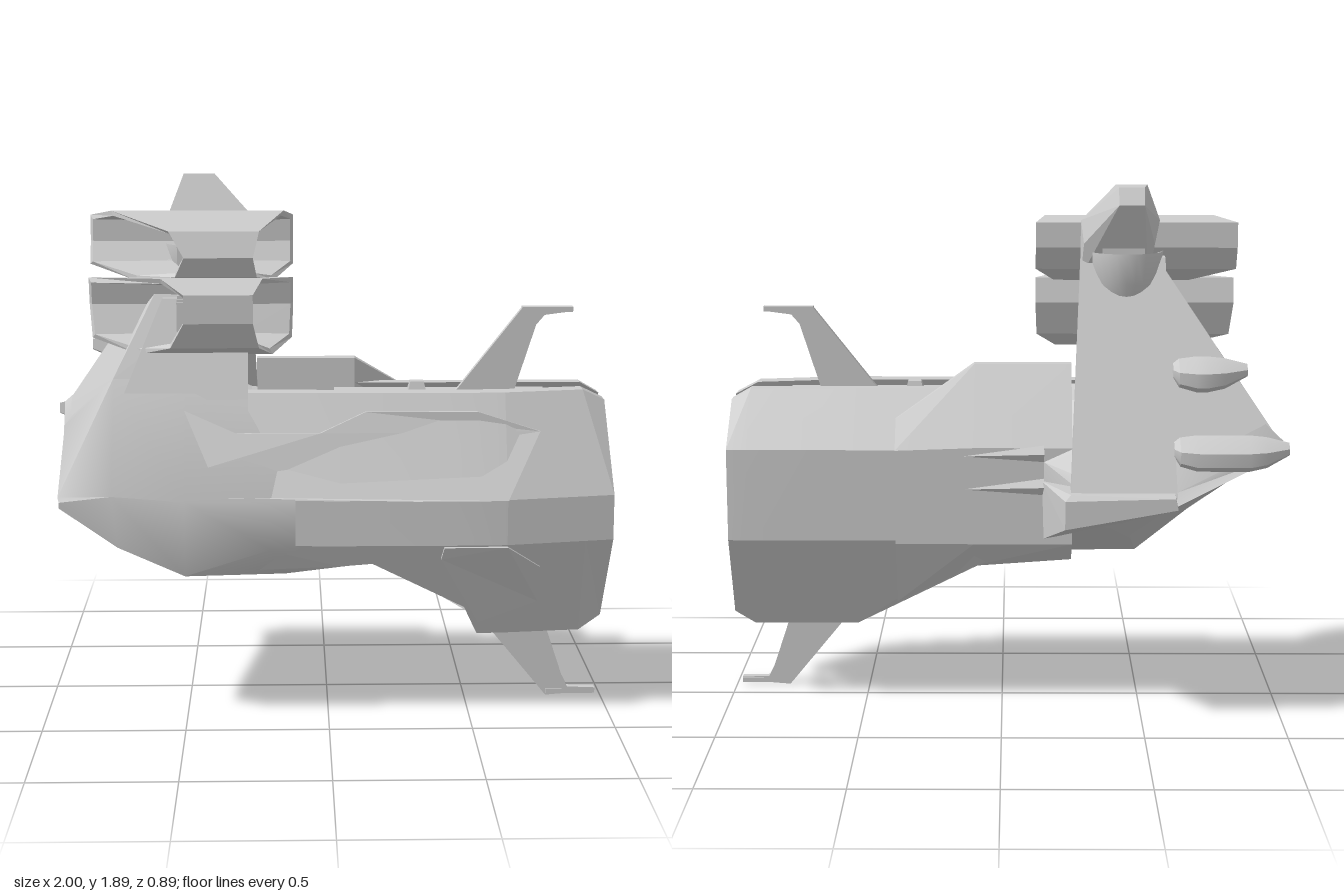
import * as THREE from 'three';
import { toCreasedNormals } from 'three/addons/utils/BufferGeometryUtils.js';
import { ConvexGeometry } from 'three/addons/geometries/ConvexGeometry.js';

const grey = new THREE.MeshStandardMaterial({ color: 0xcccccc, side: THREE.DoubleSide });
const V = (x, y, z) => new THREE.Vector3(x, y, z);
const lerp = THREE.MathUtils.lerp;
const clamp01 = (t) => THREE.MathUtils.clamp(t, 0, 1);

export function createModel() {
  const model = new THREE.Group();

  function add(name, geometry) {
    const mesh = new THREE.Mesh(geometry, grey);
    mesh.name = name;
    model.add(mesh);
    return mesh;
  }
  const convex = (name, pts) => add(name, new ConvexGeometry(pts.map((p) => V(...p))));
  const box = (name, w, h, d, x, y, z) => {
    const mesh = add(name, new THREE.BoxGeometry(w, h, d));
    mesh.position.set(x, y, z);
    return mesh;
  };
  // ring of (z, y) pairs standing at x
  const ring = (x, pts) => pts.map(([z, y]) => V(x, y, z));

  // skin through equal rings, capped at both ends, always wound outwards
  function loft(rings, crease = 0.1) {
    const n = rings[0].length, tris = [];
    for (let r = 0; r < rings.length - 1; r++) {
      for (let i = 0; i < n; i++) {
        const j = (i + 1) % n, a = rings[r], b = rings[r + 1];
        tris.push([a[i], a[j], b[j]], [a[i], b[j], b[i]]);
      }
    }
    const cap = (pts, flip) => {
      const flat = pts.map((p) => new THREE.Vector2(p.z, p.y));
      const turn = THREE.ShapeUtils.isClockWise(flat) !== flip;
      for (const [a, b, c] of THREE.ShapeUtils.triangulateShape(flat, [])) {
        tris.push(turn ? [pts[a], pts[b], pts[c]] : [pts[a], pts[c], pts[b]]);
      }
    };
    const clockwise = THREE.ShapeUtils.isClockWise(rings[0].map((p) => new THREE.Vector2(p.z, p.y)));
    cap(rings[0], !clockwise);
    cap(rings[rings.length - 1], clockwise);
    let volume = 0;
    for (const [a, b, c] of tris) volume += a.dot(b.clone().cross(c));
    const pts = tris.flatMap(([a, b, c]) => (volume < 0 ? [a, c, b] : [a, b, c]));
    return toCreasedNormals(new THREE.BufferGeometry().setFromPoints(pts), crease);
  }

  // smooth forward hull, tapering to a slanted knife edge
  const hull = [
    [[-.935, .815, .42], [-.93, .8, .435], [-.93, .78, .435], [-.94, .8, .3], [-.97, .95, -.2], [-.975, .97, -.31], [-.98, 1.02, -.31], [-.96, .97, -.1]],
    [[-.75, 1.2, .25], [-.75, .82, .435], [-.73, .64, .435], [-.7, .65, .25], [-.7, .79, -.1], [-.61, .81, -.42], [-.61, .85, -.38], [-.78, 1.2, -.2]],
    [[-.5, 1.2, .25], [-.5, .8, .435], [-.5, .53, .41], [-.5, .49, .25], [-.45, .66, -.05], [-.4, .76, -.42], [-.4, .85, -.38], [-.5, 1.2, -.2]],
    [[-.27, 1.14, .26], [-.2, .8, .435], [-.2, .63, .435], [-.15, .52, .34], [-.15, .55, 0], [-.15, .66, -.2], [-.15, .92, -.2], [-.27, 1.12, -.06]],
    [[.1, 1.1, .24], [.1, .8, .4], [.1, .64, .4], [.1, .55, .34], [.1, .56, .02], [.1, .65, -.17], [.1, .95, -.17], [.1, 1.1, 0]],
    [[.38, 1.1, .22], [.38, .8, .39], [.38, .66, .39], [.38, .59, .36], [.38, .6, .02], [.38, .68, -.1], [.38, .9, -.1], [.38, 1.1, .02]],
  ].map((r) => r.map((p) => V(...p)));
  add('forwardHull', loft(hull, 0.7));

  // front armour shell
  const frontRing = (x, dz, top, bottom, zb) => ring(x, [
    [.27 - dz, top], [.43 - dz, .8], [.43 - dz, .64], [zb, bottom],
    [zb - .09, bottom], [.36 - dz, .64], [.36 - dz, .8], [.2 - dz, top]]);
  const frontEnd = frontRing(.98, .08, 1.11, .33, .22);
  frontEnd.forEach((p) => { if (p.y > .5 && p.y < 1) p.x = 1; });
  add('frontShell', loft([
    frontRing(-.28, .01, 1.15, .54, .37), frontRing(.04, 0, 1.15, .56, .4),
    frontRing(.39, 0, 1.15, .59, .41), frontRing(.53, 0, 1.15, .28, .28),
    frontRing(.62, .005, 1.15, .28, .275), frontRing(.9, .06, 1.15, .28, .24), frontEnd]));

  // back armour shell
  const backRing = (x, dz, top, bottom, zb) => ring(x, [
    [0, top], [dz - .19, .96], [dz - .19, .63], [zb, bottom],
    [zb + .05, bottom], [dz - .13, .64], [dz - .13, .95], [.05, top]]);
  add('backShell', loft([
    backRing(-.2, 0, 1.15, .56, -.12), backRing(.04, 0, 1.15, .55, -.14),
    backRing(.53, 0, 1.15, .28, -.03), backRing(.91, 0, 1.15, .28, -.03),
    backRing(.98, .005, 1.11, .33, -.05)]));

  // raised cover over the back shell
  add('backCover', loft([
    ring(-.25, [[.05, 1.1], [.05, 1.24], [0, 1.24], [-.2, .97], [-.2, .62], [-.1, .54]]),
    ring(.1, [[.05, 1.1], [.05, 1.24], [0, 1.24], [-.2, .97], [-.2, .62], [-.12, .52]]),
    ring(.38, [[-.1, .95], [-.1, 1.06], [-.115, 1.06], [-.2, .96], [-.2, .62], [-.1, .38]])]));
  for (const y of [.92, .8]) {
    convex('coverWedge', [[-.15, y, -.2], [-.15, y + .06, -.2], [-.15, y + .03, -.22], [.14, y + .02, -.2], [-.15, y, -.15]]);
  }

  // raised panels on the front armour, sinking into the hull towards the nose
  function panel(name, outline, surface) {
    const shape = new THREE.Shape(outline.map((p) => new THREE.Vector2(...p)));
    const g = new THREE.ExtrudeGeometry(shape, { depth: .04, bevelEnabled: false });
    const p = g.attributes.position;
    for (let i = 0; i < p.count; i++) {
      const x = p.getX(i), sink = Math.max(0, x - .6) * .2 + Math.max(0, .3 - x) * .012;
      p.setZ(i, p.getZ(i) - .022 + surface(p.getY(i)) - sink);
    }
    g.computeVertexNormals();
    add(name, g);
  }
  panel('upperPanel', [[-.74, .82], [.3, .8], [.62, .8], [.74, .88], [.74, 1.02], [.52, 1.09], [.13, 1.09], [-.03, 1.02], [-.32, 1.02], [-.73, 1.19]],
    (y) => .425 - (y - .8) * .457);
  panel('lowerPanel', [[.4, .635], [.62, .635], [.74, .55], [.74, .41], [.53, .33], [.39, .59]],
    (y) => .43 - (.64 - y) * .417);

  // inner core between the shells
  const core = [[.22, 1.1], [0, 1.1], [-.14, .95], [-.14, .63], [0, .35], [.2, .35], [.35, .64], [.35, .8]];
  const scaled = (pts, s, cz = .1, cy = .71) => pts.map(([z, y]) => [cz + (z - cz) * s, cy + (y - cy) * s]);
  const coreLow = core.map(([z, y]) => [z, Math.max(y, .57)]);
  add('core', loft([ring(-.2, coreLow), ring(.05, coreLow), ring(.5, core), ring(.86, scaled(core, .97)), ring(.89, scaled(core, .85))]));
  box('coreSpine', .75, .05, .1, .4, 1.11, .11);
  convex('spineKnob', [-.04, .04].flatMap((a) => [-.04, .04].flatMap((b) =>
    [[.32 + a, 1.1, .1 + b], [.32 + a * .6, 1.165, .1 + b * .6]])));

  // stretched octagonal nozzle, hollow at the end
  const nozzle = [[.13, .915], [.02, .915], [-.04, .84], [-.04, .55], [.02, .475], [.13, .475], [.19, .55], [.19, .84]];
  const nz = (x, s) => ring(x, scaled(nozzle, s, .075, .695));
  add('nozzle', loft([nz(.85, 1.04), nz(.92, 1), nz(.96, .95), nz(.96, .84), nz(.93, .8), nz(.93, .72), nz(.88, .66)]));
  for (const y of [.99, .43]) {
    convex('endKnob', [-.037, .037].flatMap((a) => [-.037, .037].flatMap((b) =>
      [[.85, y + a, .1 + b], [.92, y + a, .1 + b], [.95, y + a * .5, .1 + b * .5]])));
  }

  // thin fins with swept tips
  function fin(name, pts) {
    const g = new THREE.ExtrudeGeometry(new THREE.Shape(pts.map((p) => new THREE.Vector2(...p))), { depth: .028, bevelEnabled: false });
    add(name, g).position.z = .106;
  }
  fin('upperFin', [[.4, 1.07], [.47, 1.15], [.69, 1.43], [.87, 1.435], [.87, 1.418], [.77, 1.405], [.74, 1.37], [.67, 1.15], [.65, 1.07]]);
  fin('lowerFin', [[.5, .38], [.57, .28], [.8, 0], [.98, .015], [.98, .028], [.88, .03], [.86, .07], [.79, .28], [.77, .38]]);
  for (const [x, y] of [[.78, 1.425], [.89, .016]]) box('finTip', .18, .018, .035, x, y, .12);

  // tower closed on the nose side
  convex('towerBody', [[-.75, 1.2, .25], [-.34, 1.1, .26], [-.6, 1.5, .12], [-.34, 1.5, .12], [-.55, 1.63, .03], [-.34, 1.63, .03],
    [-.55, 1.63, -.03], [-.34, 1.63, -.03], [-.98, 1, -.31], [-.6, .85, -.37], [-.34, .85, -.37], [-.925, .8, .42]]);
  const slab = (name, x0, x1, x2, x3, [za, ya], [zb, yb], t) => convex(name, [
    [x0, ya, za], [x1, ya, za], [x0, ya, za + t], [x1, ya, za + t],
    [x2, yb, zb], [x3, yb, zb], [x2, yb, zb + t], [x3, yb, zb + t]]);
  slab('towerFront', -.72, -.28, -.58, -.28, [.22, 1.13], [.1, 1.47], .06);
  slab('towerBackPlate', -.61, -.24, -.58, -.28, [-.4, .83], [-.04, 1.63], .07);
  for (let i = 0; i < 9; i++) {
    const y = 1.08 + i * .042;
    const back = -.26 + (y - 1.08) * .45, front = .24 - (y - 1.08) * .35;
    box('louvre', .08, .014, front - back, -.33, y, (front + back) / 2);
  }

  // foot of the back plate
  convex('plateFoot', [[-.6, .85, -.42], [-.24, .85, -.42], [-.6, .84, -.44], [-.22, .83, -.44], [-.61, .8, -.44], [-.22, .73, -.44],
    [-.61, .77, -.17], [-.14, .63, -.17], [-.61, .85, -.17], [-.14, .85, -.19]]);

  // mast head leaning backwards, with a rounded scoop behind it
  convex('mastHead', [[-.51, 1.89, -.075], [-.4, 1.89, -.075], [-.5, 1.88, -.095], [-.41, 1.88, -.095], [-.5, 1.82, -.13], [-.41, 1.82, -.13],
    [-.56, 1.76, -.02], [-.28, 1.76, -.02], [-.54, 1.68, -.06], [-.29, 1.68, -.06],
    [-.52, 1.55, .05], [-.28, 1.55, .05], [-.52, 1.56, -.03], [-.28, 1.56, -.03]]);
  const scoop = add('scoop', new THREE.LatheGeometry([[.02, 1.38], [.07, 1.44], [.115, 1.54], [.135, 1.65], [.115, 1.64], [.07, 1.57], [0, 1.55]]
    .map((p) => new THREE.Vector2(...p)), 24));
  scoop.position.set(-.44, 0, -.005);

  // launcher pods with slanted, lightly chamfered hollow ends and slats
  const podLoops = {
    upperPod: [[.24, 1.62], [.21, 1.71], [.07, 1.77], [0, 1.75], [0, 1.66], [.04, 1.58], [.12, 1.53], [.21, 1.55]],
    lowerPod: [[.31, 1.5], [.25, 1.55], [.12, 1.54], [.1, 1.45], [.14, 1.33], [.21, 1.28], [.27, 1.31], [.31, 1.4]],
  };
  for (const [name, loop] of Object.entries(podLoops)) {
    const zs = loop.map((p) => p[0]), z0 = Math.min(...zs), z1 = Math.max(...zs);
    const cz = (z0 + z1) / 2, cy = loop.reduce((s, p) => s + p[1], 0) / loop.length;
    const cut = (z, y, back, front) => lerp(back, front,
      clamp01(((z - z0) / (z1 - z0) - .2) / .8 + .12 * clamp01((Math.abs(y - cy) - .07) / .05)));
    const slant = (s, back, front) => loop.map(([z, y]) =>
      V(cut(z, y, back, front), cy + (y - cy) * s, cz + (z - cz) * s));
    add(name, loft([slant(.8, -.5, -.45), slant(.86, -.83, -.5), slant(1, -.84, -.5),
      slant(1, -.12, -.26), slant(.86, -.13, -.27), slant(.8, -.3, -.31)]));
    for (let i = -2; i <= 2; i++) {
      const z = cz + i * .03, h = .13 - Math.abs(i) * .015;
      box(name + 'Slat', .05, h, .01, -.29, cy, z);
      box(name + 'Slat', .05, h, .01, -.5, cy, z);
    }
    box(name + 'Mount', .15, .1, .1, -.43, cy - .02, z0 - .02);
  }

  // small faceted pods lying on the back plate, tapering into it at both ends
  for (const [x0, y, z] of [[-1, .97, -.345], [-.86, 1.23, -.235]]) {
    const section = [[.03, .07], [-.005, .055], [-.055, .02], [-.05, -.03], [-.015, -.05], [.05, -.03]];
    const at = (x, s) => ring(x, section.map(([a, b]) => [z + .03 + (a - .03) * s, y + .03 + (b - .03) * s]));
    add('sidePod', loft([at(x0, .35), at(x0 + .08, .85), at(x0 + .14, 1), at(-.68, 1), at(-.62, .8), at(-.6, .4)], 0.5));
  }
  return model;
}
